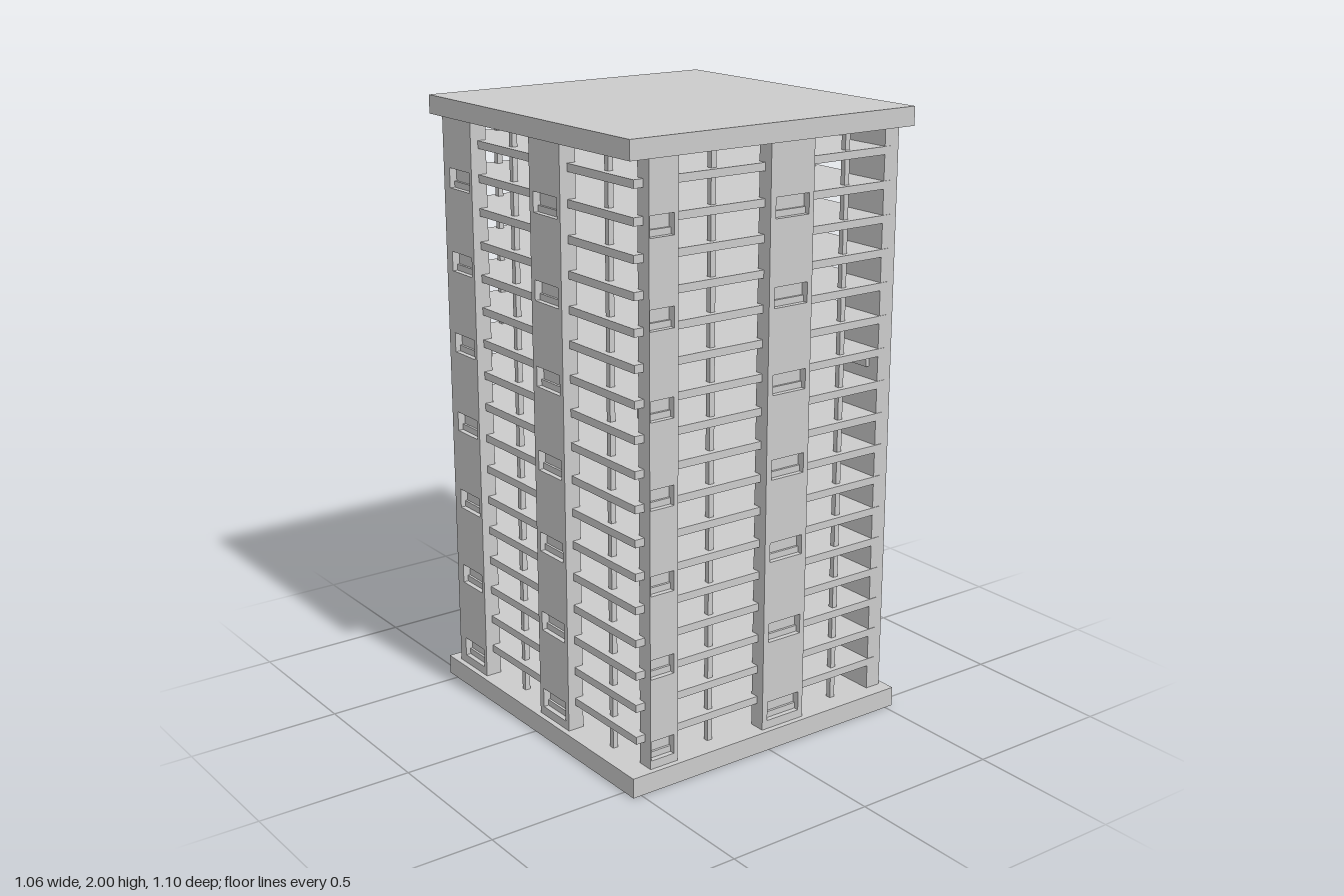
import * as THREE from 'three';

const mat = new THREE.MeshStandardMaterial({ color: 0xcccccc, flatShading: true });
const FLOOR = 0.065, ROOF = 1.94;
const PIER_DEPTH = 0.055, RECESS = 0.025;

function box(name, x0, x1, y0, y1, z0, z1) {
  const m = new THREE.Mesh(new THREE.BoxGeometry(x1 - x0, y1 - y0, z1 - z0), mat);
  m.position.set((x0 + x1) / 2, (y0 + y1) / 2, (z0 + z1) / 2);
  m.name = name;
  return m;
}

function rect(path, x0, x1, y0, y1) {
  path.moveTo(x0, y0);
  path.lineTo(x1, y0);
  path.lineTo(x1, y1);
  path.lineTo(x0, y1);
  path.closePath();
  return path;
}

// Solid pier whose outer skin is pierced by a column of recessed windows
function pier(x0, x1, w0, w1, plane) {
  const g = new THREE.Group();
  g.name = 'windowPier';
  const shape = rect(new THREE.Shape(), x0, x1, FLOOR, ROOF);
  for (let i = 0; i < 7; i++) {
    const y = 0.125 + i * 0.27;
    shape.holes.push(rect(new THREE.Path(), w0, w1, y - 0.032, y + 0.032));
    // raised sill strip at the back of the recess
    g.add(box('windowSill', w0, w1, y - 0.032, y - 0.012, plane - RECESS, plane - RECESS + 0.008));
  }
  const skin = new THREE.Mesh(
    new THREE.ExtrudeGeometry(shape, { depth: RECESS, bevelEnabled: false }), mat);
  skin.position.z = plane - RECESS;
  skin.name = 'pierSkin';
  g.add(skin, box('pierCore', x0, x1, FLOOR, ROOF, plane - PIER_DEPTH, plane - RECESS));
  // small ledge on the inner side
  g.add(box('innerLedge', w0, w1, 1.172, 1.205, plane - PIER_DEPTH - 0.012, plane - PIER_DEPTH));
  return g;
}

// One facade facing +z: two piers and a slim post in the middle of each open bay
function facade(name, turn, plane, shift, start) {
  const g = new THREE.Group();
  g.name = name;
  g.add(pier(start, shift - 0.335, Math.max(shift - 0.47, start + 0.003), shift - 0.35, plane));
  g.add(pier(shift, shift + 0.165, shift + 0.02, shift + 0.147, plane));
  for (const u of [-0.175, 0.335]) {
    const x = u + shift;
    g.add(box('bayPost', x - 0.009, x + 0.009, FLOOR, ROOF, plane - 0.065, plane - 0.047));
  }
  g.rotation.y = turn * Math.PI / 2;
  return g;
}

export function createModel() {
  const model = new THREE.Group();
  model.name = 'towerBlock';
  model.add(box('basePlate', -0.53, 0.53, 0, FLOOR, -0.548, 0.548));
  model.add(box('roofPlate', -0.53, 0.53, ROOF, 2, -0.548, 0.548));

  // floor slabs
  for (let i = 0; i < 17; i++) {
    const y = 0.16 + i * 0.1066;
    model.add(box('floorSlab', -0.486, 0.486, y - 0.0125, y + 0.0125, -0.502, 0.502));
  }

  model.add(facade('frontFacade', 0, 0.53, -0.015, -0.453));
  model.add(facade('leftFacade', 1, 0.512, 0.01, -0.5));
  model.add(facade('backFacade', 2, 0.53, -0.01, -0.51));
  model.add(facade('rightFacade', 3, 0.512, 0.005, -0.5));
  return model;
}
